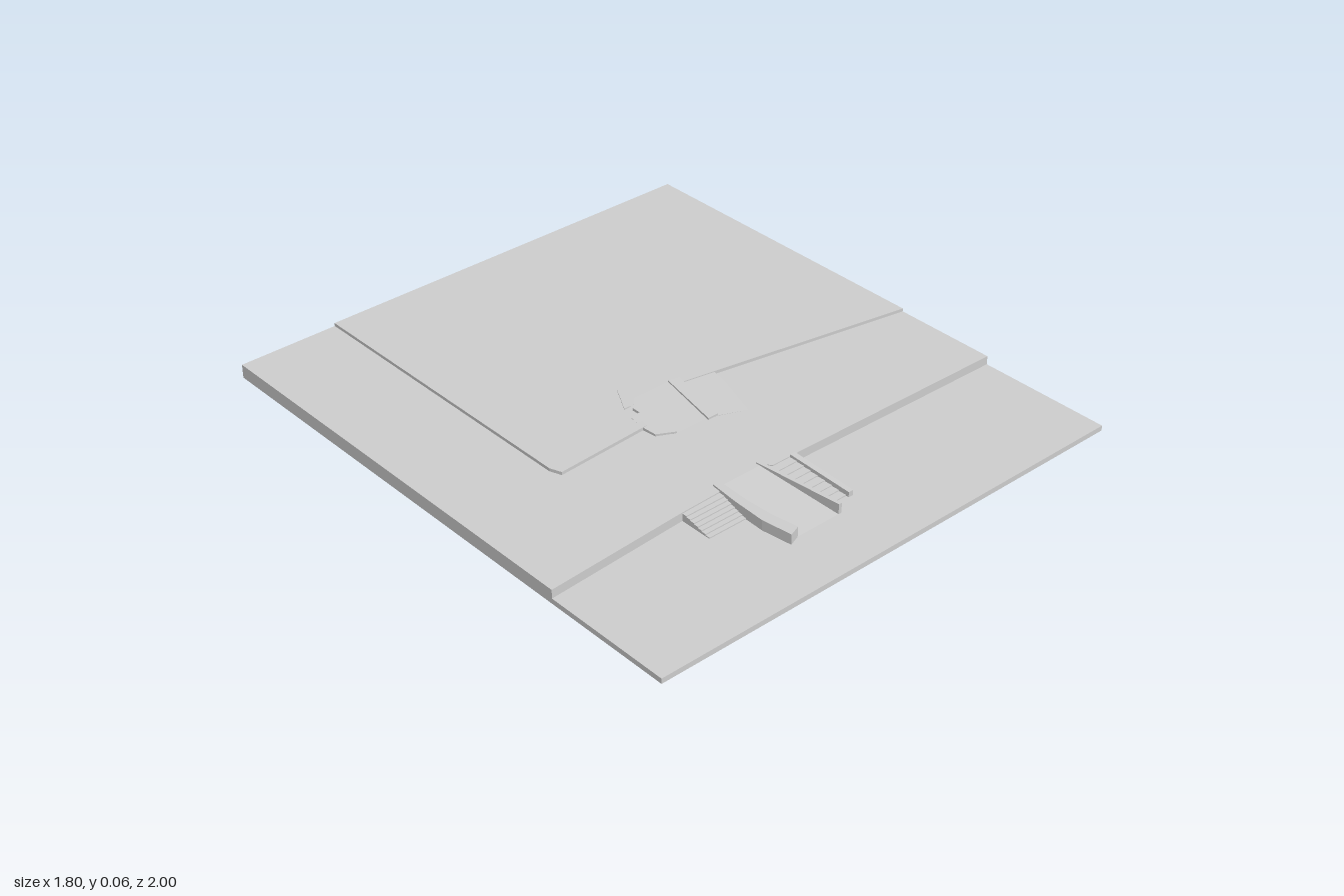
import * as THREE from 'three';

export function createModel() {
  const group = new THREE.Group();
  group.name = 'terracedGround';
  const material = new THREE.MeshStandardMaterial({ color: 0xcccccc, flatShading: true });
  const LOW = 0.018, MID = 0.048, HIGH = 0.059;

  // Upright prism over a plan outline of [x, z] points; top may be a height or a rule of z
  function prism(name, outline, bottom, top) {
    const shape = new THREE.Shape(outline.map(([x, z]) => new THREE.Vector2(x, -z)));
    const geo = new THREE.ExtrudeGeometry(shape, { depth: 1, bevelEnabled: false });
    geo.rotateX(-Math.PI / 2);
    const pos = geo.attributes.position;
    for (let i = 0; i < pos.count; i++) {
      const h = typeof top === 'function' ? top(pos.getZ(i)) : top;
      pos.setY(i, pos.getY(i) > 0.5 ? h : bottom);
    }
    geo.computeVertexNormals();
    const mesh = new THREE.Mesh(geo, material);
    mesh.name = name;
    group.add(mesh);
  }
  const slope = (z0, y0, z1, y1) => z =>
    y0 + (y1 - y0) * THREE.MathUtils.clamp((z - z0) / (z1 - z0), 0, 1);

  // Three stepped ground levels
  prism('lowerGround', [[-0.9, -1], [0.9, -1], [0.9, 1], [-0.9, 1]], 0, LOW);
  prism('middleTerrace', [
    [-0.9, -1], [0.9, -1], [0.9, 0.53], [0.04, 0.515], [-0.03, 0.515], [-0.05, 0.49],
    [-0.22, 0.49], [-0.24, 0.51], [-0.4, 0.515], [-0.9, 0.545],
  ], 0.001, MID);
  prism('upperTerrace', [
    [-0.545, -1], [0.9, -1], [0.9, 0.16], [0.06, 0.01], [0.04, -0.02], [-0.11, -0.02],
    [-0.16, 0.03], [-0.18, 0.12], [-0.53, 0.14], [-0.545, 0.1],
  ], 0.002, HIGH);

  // Ramps joining the levels
  prism('upperRamp', [[-0.15, -0.02], [0.04, -0.02], [0.01, 0.2], [-0.14, 0.2]],
    0.03, slope(-0.02, HIGH, 0.2, MID));
  prism('lowerRamp', [[-0.22, 0.49], [-0.05, 0.49], [-0.025, 0.79], [-0.2, 0.79]],
    0.003, slope(0.49, MID, 0.79, LOW));

  // Gentle bank beside the upper ramp
  prism('rampBank', [[0.06, 0.01], [0.18, 0.03], [0.17, 0.09], [0.12, 0.25], [0.02, 0.21]],
    0.03, slope(0.03, 0.056, 0.25, MID));

  // Retaining walls of the upper ramp
  prism('upperRightWall', [[0.03, -0.02], [0.07, -0.01], [0.03, 0.21], [-0.01, 0.21]],
    0.03, slope(0, 0.064, 0.21, 0.055));
  prism('upperLeftWall', [[-0.19, 0.06], [-0.135, 0.05], [-0.14, 0.12], [-0.13, 0.2], [-0.19, 0.17], [-0.197, 0.11]],
    0.03, slope(0.05, 0.061, 0.2, 0.054));
  prism('upperLeftWingWall', [[-0.175, 0.01], [-0.15, 0.01], [-0.1, -0.07], [-0.1, -0.09], [-0.12, -0.09]],
    0.03, 0.062);

  // Retaining walls of the lower ramp
  prism('lowerLeftWall', [
    [-0.235, 0.475], [-0.21, 0.475], [-0.215, 0.6], [-0.21, 0.7], [-0.195, 0.79],
    [-0.235, 0.805], [-0.25, 0.7], [-0.245, 0.58],
  ], 0.004, 0.054);
  prism('lowerRightWall', [[-0.062, 0.475], [-0.05, 0.475], [-0.018, 0.79], [-0.03, 0.79]],
    0.004, 0.053);
  prism('outerStairWall', [[0.04, 0.515], [0.06, 0.515], [0.07, 0.75], [0.052, 0.75]],
    0.004, slope(0.53, 0.055, 0.75, 0.036));

  // Flights of steps descending to the lower ground
  function stairs(name, x0, x1, z0, z1, count) {
    for (let i = 0; i < count; i++) {
      const back = z0 - 0.01, front = z0 + (z1 - z0) * (i + 1) / count;
      const top = MID - (MID - LOW) * (i + 1) / (count + 1);
      prism(name, [[x0, back], [x1, back], [x1, front], [x0, front]], 0.005 + i * 0.0005, top);
    }
  }
  stairs('leftStep', -0.39, -0.24, 0.515, 0.63, 7);
  stairs('rightStep', -0.04, 0.055, 0.515, 0.74, 8);

  return group;
}
